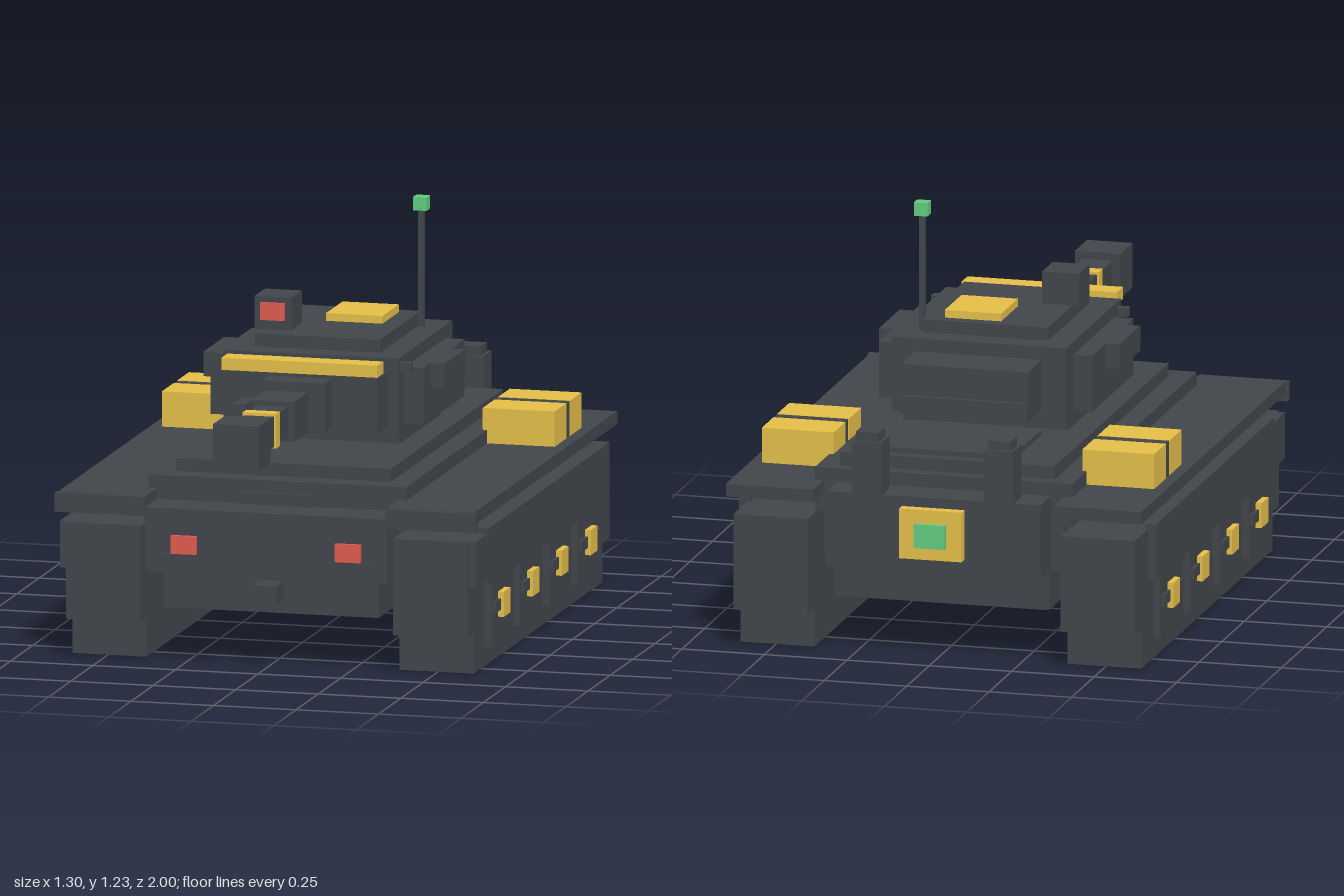
import * as THREE from 'three';

export function createModel() {
  const model = new THREE.Group();
  model.name = 'tank';

  const material = (name, color) => {
    const m = new THREE.MeshStandardMaterial({ color });
    m.name = name;
    return m;
  };
  const steel = material('dark steel', 0x41464b);
  const gold = material('gold', 0xe4be48);
  const red = material('red', 0xe05a50);
  const green = material('green', 0x62cc80);

  const group = (name) => {
    const g = new THREE.Group();
    g.name = name;
    model.add(g);
    return g;
  };
  // Box given by its lower and upper limits on each axis
  const box = (parent, name, mat, x0, x1, y0, y1, z0, z1) => {
    const mesh = new THREE.Mesh(new THREE.BoxGeometry(x1 - x0, y1 - y0, z1 - z0), mat);
    mesh.position.set((x0 + x1) / 2, (y0 + y1) / 2, (z0 + z1) / 2);
    mesh.name = name;
    parent.add(mesh);
  };
  // Box centred on x = 0
  const mid = (parent, name, mat, w, ...rest) => box(parent, name, mat, -w, w, ...rest);
  // Box and its mirror image
  const pair = (parent, name, mat, x0, x1, ...rest) => {
    box(parent, name + 'Left', mat, x0, x1, ...rest);
    box(parent, name + 'Right', mat, -x1, -x0, ...rest);
  };

  // Hull, stepped inwards towards the turret
  const hull = group('hull');
  mid(hull, 'belly', steel, 0.325, 0.155, 0.28, -0.86, 0.6);
  mid(hull, 'hullBody', steel, 0.365, 0.27, 0.41, -0.84, 0.653);
  mid(hull, 'rearPlate', steel, 0.325, 0.27, 0.495, -0.955, -0.8);
  mid(hull, 'frontDeck', steel, 0.366, 0.405, 0.463, -0.84, 0.667);
  mid(hull, 'lowerDeck', steel, 0.39, 0.405, 0.535, -0.84, 0.535);
  mid(hull, 'upperDeck', steel, 0.325, 0.535, 0.574, -0.8, 0.465);
  mid(hull, 'engineCover', steel, 0.19, 0.574, 0.59, -0.765, -0.45);
  mid(hull, 'glacisPlate', steel, 0.115, 0.455, 0.5, 0.53, 0.547);
  mid(hull, 'towHook', steel, 0.037, 0.195, 0.25, 0.59, 0.68);
  pair(hull, 'headlight', red, 0.21, 0.287, 0.328, 0.382, 0.645, 0.666);
  pair(hull, 'frontBolt', steel, 0.286, 0.318, 0.295, 0.325, 0.645, 0.665);

  // Rear marker and exhausts
  mid(hull, 'rearPanel', gold, 0.095, 0.315, 0.465, -0.987, -0.95);
  mid(hull, 'rearLamp', green, 0.047, 0.352, 0.424, -1, -0.98);
  pair(hull, 'exhaust', steel, 0.155, 0.245, 0.495, 0.653, -0.967, -0.875);
  pair(hull, 'exhaustCap', steel, 0.165, 0.235, 0.653, 0.68, -0.955, -0.887);

  // Tracks, fenders and side skirts
  const sides = group('tracks');
  pair(sides, 'trackLower', steel, 0.383, 0.608, 0, 0.116, -0.87, 0.58);
  pair(sides, 'trackUpper', steel, 0.383, 0.608, 0.116, 0.404, -0.947, 0.653);
  pair(sides, 'fender', steel, 0.365, 0.63, 0.457, 0.495, -0.953, 0.655);
  pair(sides, 'fenderLip', steel, 0.365, 0.638, 0.436, 0.493, 0.642, 0.668);
  pair(sides, 'skirt', steel, 0.6, 0.633, 0.25, 0.42, -0.795, 0.505);
  pair(sides, 'skirtFront', steel, 0.6, 0.63, 0.265, 0.404, 0.51, 0.638);
  for (const z of [0.352, 0.027, -0.3, -0.625]) {
    pair(sides, 'wheelPlate', steel, 0.59, 0.63, 0.06, 0.255, z - 0.112, z + 0.112);
    pair(sides, 'wheelBar', steel, 0.62, 0.64, 0.157, 0.19, z - 0.105, z + 0.105);
    pair(sides, 'wheelHub', gold, 0.62, 0.648, 0.135, 0.21, z - 0.038, z + 0.038);
  }

  // Stowage boxes, each held by a strap
  const stowage = group('stowage');
  pair(stowage, 'boxRear', gold, 0.377, 0.595, 0.49, 0.6, -0.682, -0.552);
  pair(stowage, 'strap', steel, 0.38, 0.593, 0.49, 0.599, -0.552, -0.512);
  pair(stowage, 'boxFront', gold, 0.377, 0.595, 0.49, 0.6, -0.512, -0.378);

  // Turret
  const turret = group('turret');
  mid(turret, 'turretRing', steel, 0.25, 0.574, 0.62, -0.375, 0.085);
  mid(turret, 'turretBody', steel, 0.265, 0.616, 0.841, -0.452, 0.155);
  mid(turret, 'turretFace', steel, 0.232, 0.634, 0.801, 0.15, 0.275);
  mid(turret, 'brow', gold, 0.236, 0.807, 0.843, 0.217, 0.285);
  mid(turret, 'browSupport', steel, 0.22, 0.795, 0.81, 0.15, 0.275);
  pair(turret, 'cheek', steel, 0.26, 0.323, 0.634, 0.803, -0.375, 0.085);
  pair(turret, 'sideBin', steel, 0.31, 0.365, 0.729, 0.803, -0.225, 0.005);
  pair(turret, 'sight', steel, 0.255, 0.298, 0.798, 0.825, 0.11, 0.137);
  mid(turret, 'bustle', steel, 0.192, 0.653, 0.801, -0.605, -0.45);
  mid(turret, 'bustleLip', steel, 0.192, 0.653, 0.708, -0.618, -0.6);
  mid(turret, 'roof', steel, 0.19, 0.841, 0.88, -0.378, 0.082);
  box(turret, 'hatch', gold, -0.038, 0.133, 0.878, 0.903, -0.342, -0.157);
  box(turret, 'periscope', steel, -0.21, -0.098, 0.878, 0.977, -0.107, 0.01);
  box(turret, 'periscopeLens', red, -0.191, -0.118, 0.908, 0.96, 0.008, 0.019);
  box(turret, 'antenna', steel, 0.191, 0.208, 0.841, 1.19, -0.356, -0.339);
  box(turret, 'antennaTip', green, 0.179, 0.22, 1.188, 1.228, -0.368, -0.329);

  // Gun
  const gun = group('gun');
  mid(gun, 'mantlet', steel, 0.095, 0.649, 0.795, 0.27, 0.35);
  mid(gun, 'barrel', steel, 0.045, 0.676, 0.766, 0.34, 0.88);
  mid(gun, 'barrelSleeve', steel, 0.064, 0.662, 0.781, 0.425, 0.58);
  mid(gun, 'barrelBand', gold, 0.051, 0.671, 0.774, 0.692, 0.735);
  mid(gun, 'muzzle', steel, 0.069, 0.654, 0.788, 0.866, 1);
  box(gun, 'coaxialGun', steel, -0.175, -0.137, 0.69, 0.727, 0.27, 0.385);

  return model;
}
